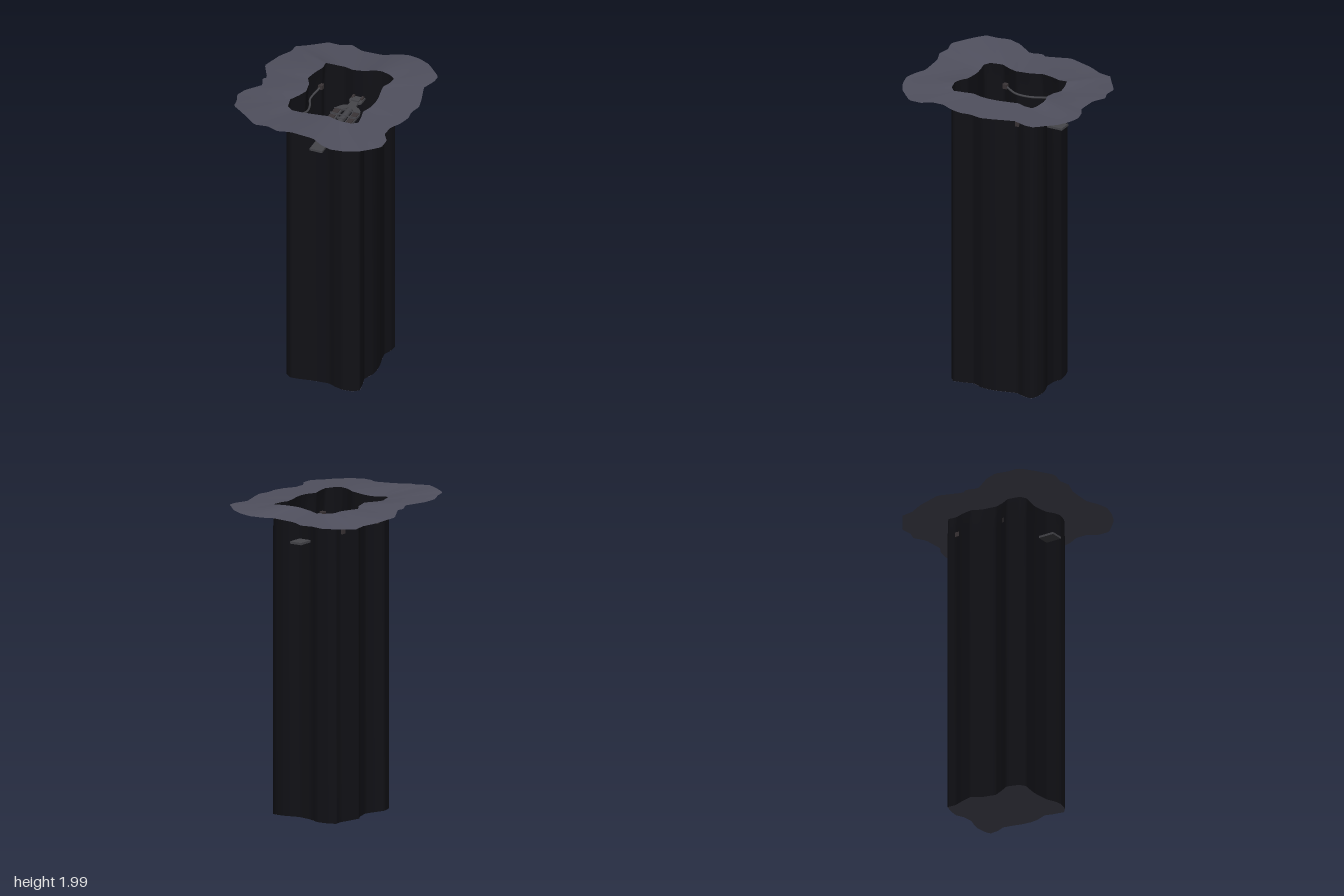
import * as THREE from 'three';

const mat = (color) => new THREE.MeshStandardMaterial({ color, side: THREE.DoubleSide });
const CX = 0.03, CZ = -0.02; // centre line of the shaft

// Plan outlines as x, z pairs, both starting at the back right corner
const rimOutline = [-.46, -.45, -.29, -.57, -.21, -.565, -.14, -.59, -.06, -.55, .09, -.55, .15, -.585, .23, -.605,
  .31, -.59, .39, -.55, .5, -.44, .5, -.38, .47, -.29, .51, -.16, .53, -.08, .51, 0, .52, .06, .5, .14, .46, .21,
  .46, .29, .5, .35, .5, .43, .39, .54, .31, .58, .23, .6, .16, .58, .09, .54, -.06, .54, -.14, .57, -.21, .55,
  -.29, .57, -.39, .5, -.49, .43, -.5, .36, -.53, .29, -.51, .21, -.44, .1, -.475, .03, -.455, 0, -.53, -.14,
  -.5, -.29, -.46, -.38];
const holeOutline = [-.19, -.295, -.14, -.31, -.07, -.32, -.01, -.3, .07, -.3, .12, -.32, .17, -.33, .23, -.32,
  .265, -.3, .26, -.24, .24, -.19, .25, -.13, .265, -.06, .27, 0, .265, .05, .24, .12, .255, .18, .265, .25,
  .23, .28, .17, .292, .12, .28, .07, .258, -.01, .258, -.06, .26, -.17, .276, -.205, .25, -.225, .17, -.195, .11,
  -.17, .05, -.19, -.04, -.225, -.1, -.205, -.18, -.185, -.24];

const toPoints = (a) => Array.from({ length: a.length / 2 }, (_, i) => new THREE.Vector2(a[2 * i], a[2 * i + 1]));
const closed = (a) => { const s = new THREE.Shape(toPoints(a)); s.closePath(); return s; };

// Skin of smooth quads between successive closed loops
function loft(loops) {
  const n = loops[0].length, pos = [], idx = [];
  loops.forEach((l) => l.forEach((p) => pos.push(p.x, p.y, p.z)));
  for (let r = 0; r < loops.length - 1; r++) {
    for (let i = 0; i < n; i++) {
      const a = r * n + i, b = r * n + (i + 1) % n;
      idx.push(a, a + n, b, b, a + n, b + n);
    }
  }
  const g = new THREE.BufferGeometry();
  g.setAttribute('position', new THREE.Float32BufferAttribute(pos, 3));
  g.setIndex(idx);
  g.computeVertexNormals();
  return g;
}

export function createModel() {
  const model = new THREE.Group();
  const rock = mat(0x50505e), wallMat = mat(0x111116), metal = mat(0x45454a), panel = mat(0x3a3436);
  const add = (parent, name, geo, material, x = 0, y = 0, z = 0) => {
    const m = new THREE.Mesh(geo, material);
    m.name = name;
    m.position.set(x, y, z);
    parent.add(m);
    return m;
  };

  // Ground rim: a warped collar around the shaft mouth
  const N = 168;
  const outer = closed(rimOutline).getSpacedPoints(N).slice(0, N);
  const inner = closed(holeOutline).getSpacedPoints(N).slice(0, N);
  const mouthY = (p) => 1.957 + 0.012 * Math.sin(p.x * 14 + 2.6) * Math.cos(p.y * 9);
  const edgeY = (p) => {
    const u = THREE.MathUtils.clamp(p.x / 0.9 + 0.5, 0, 1), v = THREE.MathUtils.clamp(p.y / 1.0 + 0.5, 0, 1);
    const back = THREE.MathUtils.lerp(1.915, 1.95, u), front = THREE.MathUtils.lerp(2.0, 1.945, u);
    return THREE.MathUtils.lerp(back, front, v);
  };
  const rimLoops = [0, 0.25, 0.5, 0.75, 1].map((t) => inner.map((p, i) => {
    const q = outer[i];
    const y = THREE.MathUtils.lerp(mouthY(p), edgeY(q), t);
    return new THREE.Vector3(THREE.MathUtils.lerp(p.x, q.x, t), y, THREE.MathUtils.lerp(p.y, q.y, t));
  }));
  add(model, 'groundRim', loft(rimLoops.reverse()), rock);

  // Shaft wall: widens a little just under the mouth, then runs straight down
  const wide = (p) => CX + (p.x - CX) * 1.04;
  const wallLoops = [0, 0.03, 0.15, 1].map((t) => inner.map((p) => {
    const top = mouthY(p);
    const y = t === 1 ? 0.008 + 0.006 * Math.sin(p.x * 12) : top - t;
    return new THREE.Vector3(t < 0.1 ? THREE.MathUtils.lerp(p.x, wide(p), t / 0.1) : wide(p), y, p.y);
  }));
  add(model, 'shaftWall', loft(wallLoops), wallMat);

  // Shaft floor
  const floor = new THREE.ShapeGeometry(new THREE.Shape(inner.map((p) => new THREE.Vector2(wide(p), p.y))));
  floor.rotateX(Math.PI / 2);
  const fp = floor.attributes.position;
  for (let i = 0; i < fp.count; i++) fp.setY(i, 0.008 + 0.006 * Math.sin(fp.getX(i) * 12));
  add(model, 'shaftFloor', floor, rock);

  // Bridge: one deck with a long opening, its ends set into the walls
  const bridge = new THREE.Group();
  bridge.name = 'bridge';
  bridge.position.set(CX, 1.766, CZ);
  model.add(bridge);
  const quarter = [[.085, .1], [.075, .13], [.055, .155], [.028, .168], [.025, .21], [.042, .222], [.042, .383]];
  const side = [...quarter.map(([x, z]) => [x, -z]).reverse(), ...quarter];
  const deck = new THREE.Shape([...side, ...side.map(([x, z]) => [-x, z]).reverse()].map((p) => new THREE.Vector2(...p)));
  const opening = new THREE.Path();
  opening.absarc(0, 0.1, 0.035, 0, Math.PI, false);
  opening.absarc(0, -0.1, 0.035, Math.PI, Math.PI * 2, false);
  opening.closePath();
  deck.holes.push(opening);
  const deckGeo = new THREE.ExtrudeGeometry(deck, { depth: 0.014, bevelEnabled: false, curveSegments: 6 });
  deckGeo.rotateX(Math.PI / 2);
  add(bridge, 'deck', deckGeo, metal);

  // Central pipe with cross beams through the opening
  const pipe = new THREE.CylinderGeometry(0.02, 0.02, 0.27, 12);
  pipe.rotateX(Math.PI / 2);
  add(bridge, 'centrePipe', pipe, metal, 0, -0.012, 0);
  for (const z of [-0.1, -0.04, 0.04, 0.1]) add(bridge, 'crossBeam', new THREE.BoxGeometry(0.175, 0.008, 0.005), metal, 0, 0.004, z);
  add(bridge, 'hub', new THREE.BoxGeometry(0.045, 0.012, 0.015), metal, 0, 0.006, 0);
  for (const s of [-1, 1]) {
    for (const z of [-0.07, 0, 0.07]) add(bridge, 'sidePanel', new THREE.BoxGeometry(0.036, 0.006, 0.05), panel, s * 0.062, 0.002, z);
    add(bridge, 'endBlock', new THREE.BoxGeometry(0.05, 0.01, 0.035), metal, 0, 0.004, s * 0.235);
    for (const x of [-0.03, 0.03]) add(bridge, 'endBracket', new THREE.BoxGeometry(0.014, 0.012, 0.03), panel, x, 0.005, s * 0.262);
  }

  // Wall cables with a clamp at each end
  const cables = [
    [[.24, 1.82, -.19], [.232, 1.815, -.12], [.25, 1.83, -.015], [.25, 1.82, .07], [.228, 1.815, .17]],
    [[-.19, 1.83, -.22], [-.213, 1.8, -.11], [-.185, 1.8, -.04], [-.168, 1.81, .05], [-.2, 1.83, .14]],
  ];
  for (const pts of cables) {
    const curve = new THREE.CatmullRomCurve3(pts.map((p) => new THREE.Vector3(...p)));
    add(model, 'wallCable', new THREE.TubeGeometry(curve, 32, 0.007, 6), metal);
    for (const p of [pts[0], pts[4]]) add(model, 'cableClamp', new THREE.BoxGeometry(0.03, 0.03, 0.03), panel, ...p);
  }
  const lamp = new THREE.CylinderGeometry(0.026, 0.03, 0.03, 12);
  add(model, 'wallLamp', lamp, metal, 0.235, 1.84, -0.015);

  return model;
}
